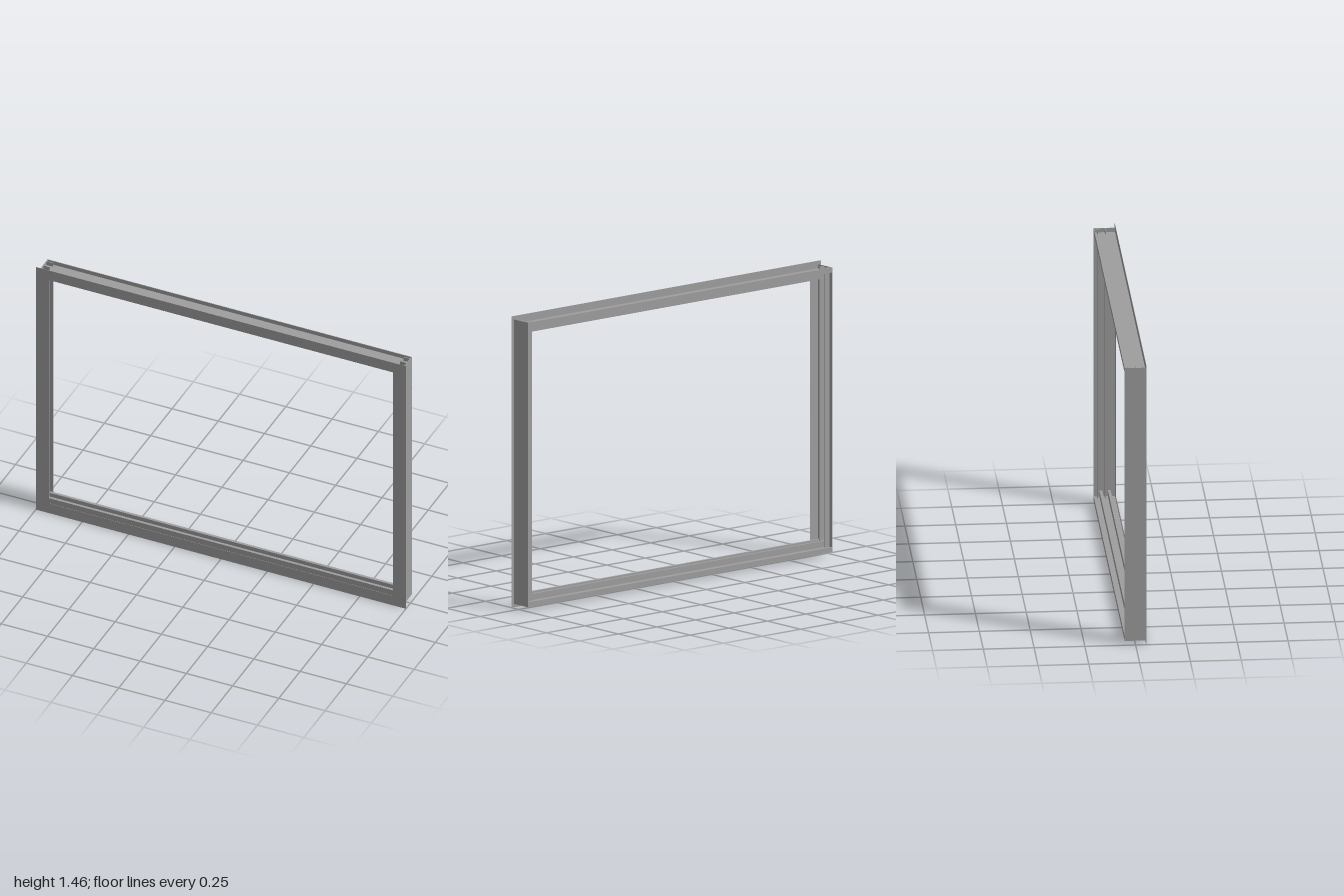
import * as THREE from 'three';

const W = 1, H = 1.463;            // half width and full height of the face flange
const OUT = 0.985, LOW = 0.017;    // outer limits of the body
const BACK = -0.053, FRONT = 0.053, T = 0.004, SKIN = 0.001;

export function createModel() {
  const model = new THREE.Group();
  const material = new THREE.MeshStandardMaterial({ color: 0x9e9e9e });

  // Box given by its limits on each axis
  const slab = (parent, name, [x0, x1], [y0, y1], [z0, z1]) => {
    const mesh = new THREE.Mesh(new THREE.BoxGeometry(x1 - x0, y1 - y0, z1 - z0), material);
    mesh.position.set((x0 + x1) / 2, (y0 + y1) / 2, (z0 + z1) / 2);
    mesh.name = name;
    parent.add(mesh);
  };

  // Thin face flange around the opening
  const face = new THREE.Shape([[-W, 0], [W, 0], [W, H], [-W, H]].map(p => new THREE.Vector2(...p)));
  face.holes.push(new THREE.Path(
    [[-0.93, 0.058], [-0.93, H - 0.058], [0.93, H - 0.058], [0.93, 0.058]].map(p => new THREE.Vector2(...p))));
  const flange = new THREE.Mesh(
    new THREE.ExtrudeGeometry(face, { depth: SKIN, bevelEnabled: false }), material);
  flange.position.z = FRONT - SKIN;
  flange.name = 'faceFlange';
  model.add(flange);

  // Jambs: flat outer wall with two fins pointing into the opening
  for (const s of [-1, 1]) {
    const jamb = new THREE.Group();
    jamb.name = s > 0 ? 'leftJamb' : 'rightJamb';
    const span = (a, b) => (s > 0 ? [a, b] : [-b, -a]);
    const y = [LOW, H - LOW];
    slab(jamb, 'outerWall', span(OUT - T, OUT), y, [BACK, FRONT - SKIN]);
    for (const z of [-0.035, 0.003])
      slab(jamb, 'jambFin', span(0.947, OUT - T), y, [z - T / 2, z + T / 2]);
    model.add(jamb);
  }

  // Sill and head: web with a back lip and two track ribs, mirrored top to bottom
  for (const top of [false, true]) {
    const rail = new THREE.Group();
    rail.name = top ? 'head' : 'sill';
    const span = (a, b) => (top ? [H - b, H - a] : [a, b]);
    const x = [-OUT + T, OUT - T];
    slab(rail, 'web', x, span(0.038, 0.042), [BACK + T, FRONT - SKIN]);
    slab(rail, 'backLip', x, span(LOW, 0.042), [BACK, BACK + T]);
    for (const z of [-0.018, 0.024])
      slab(rail, 'trackRib', x, span(0.042, 0.073), [z - 0.007, z + 0.007]);
    model.add(rail);
  }
  return model;
}
